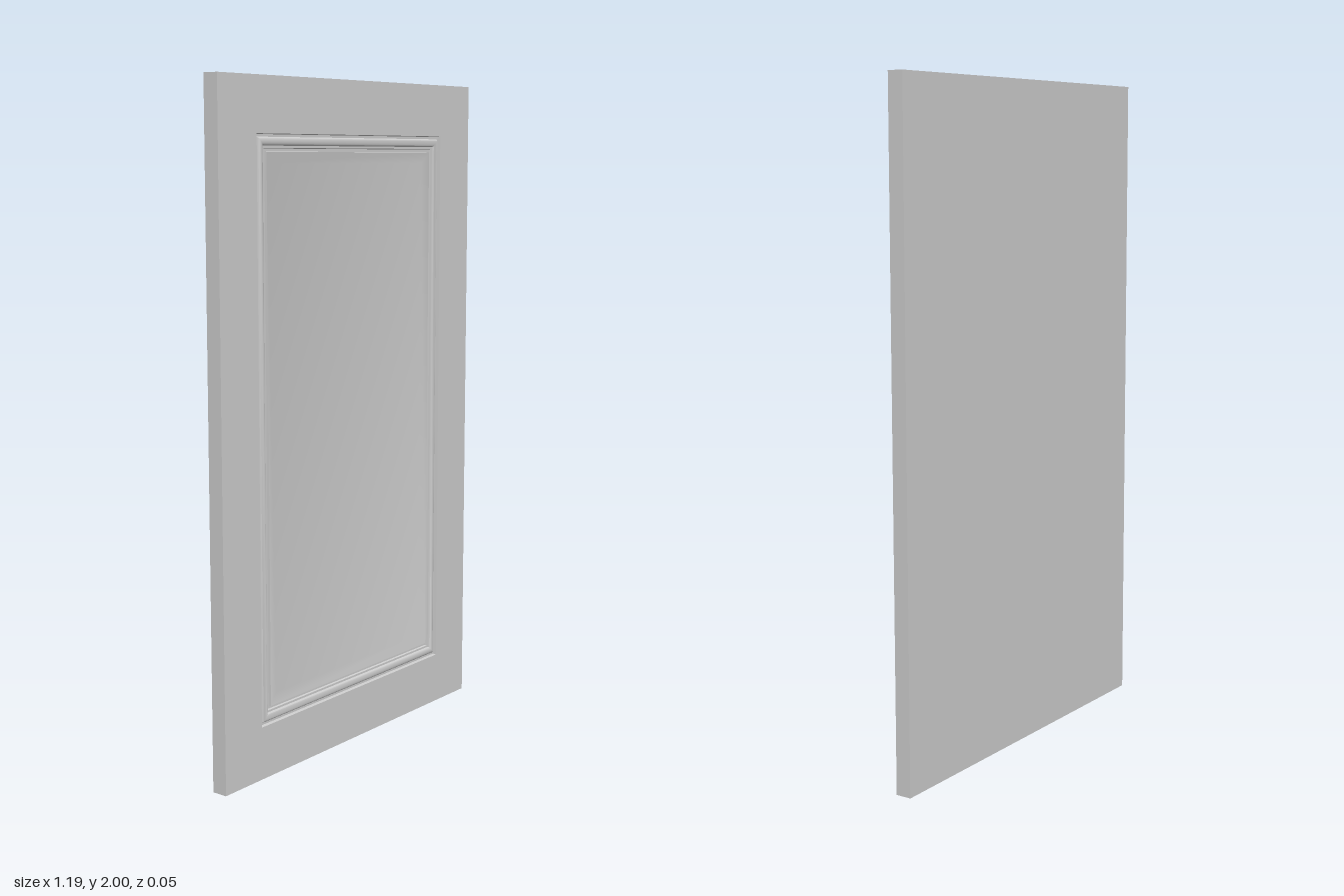
import * as THREE from 'three';
import { toCreasedNormals } from 'three/addons/utils/BufferGeometryUtils.js';

const HALF_W = 0.597, HALF_H = 1, HALF_D = 0.024;

// Skins nested rectangles; each profile point is [inset from the outer edge, z].
function mitredRings(profile, { capStart = false, capEnd = false } = {}) {
  const pos = [], index = [];
  for (const [inset, z] of profile) {
    const w = HALF_W - inset, h = HALF_H - inset;
    pos.push(-w, 1 - h, z, w, 1 - h, z, w, 1 + h, z, -w, 1 + h, z);
  }
  for (let r = 0; r < profile.length - 1; r++) {
    for (let i = 0; i < 4; i++) {
      const j = (i + 1) % 4, a = r * 4 + i, b = r * 4 + j;
      index.push(a, b, b + 4, a, b + 4, a + 4);
    }
  }
  if (capStart) index.push(0, 2, 1, 0, 3, 2);
  if (capEnd) {
    const e = (profile.length - 1) * 4;
    index.push(e, e + 1, e + 2, e, e + 2, e + 3);
  }
  const geometry = new THREE.BufferGeometry();
  geometry.setAttribute('position', new THREE.Float32BufferAttribute(pos, 3));
  geometry.setIndex(index);
  return toCreasedNormals(geometry, 0.6);
}

export function createModel() {
  const group = new THREE.Group();
  group.name = 'cabinetDoor';
  const material = new THREE.MeshStandardMaterial({ color: 0xcccccc });
  const add = (name, geometry) => {
    const mesh = new THREE.Mesh(geometry, material);
    mesh.name = name;
    group.add(mesh);
  };

  // Flat back, edges and the wide front border
  add('frame', mitredRings([[0, -HALF_D], [0, HALF_D], [0.157, HALF_D]], { capStart: true }));

  // Quirk, rounded bead and inner groove around the opening
  const moulding = [[0.157, HALF_D], [0.159, 0.014], [0.166, 0.014]];
  for (let i = 0; i <= 8; i++) {
    const a = Math.PI * (1 - i / 8);
    moulding.push([0.178 + 0.012 * Math.cos(a), 0.014 + 0.008 * Math.sin(a)]);
  }
  moulding.push([0.196, 0.014], [0.198, 0.009], [0.206, 0.009], [0.207, 0.016]);
  add('moulding', mitredRings(moulding));

  // Shallow bevel running down to the sunken field
  add('centrePanel', mitredRings([[0.207, 0.016], [0.239, 0.009]], { capEnd: true }));

  return group;
}
